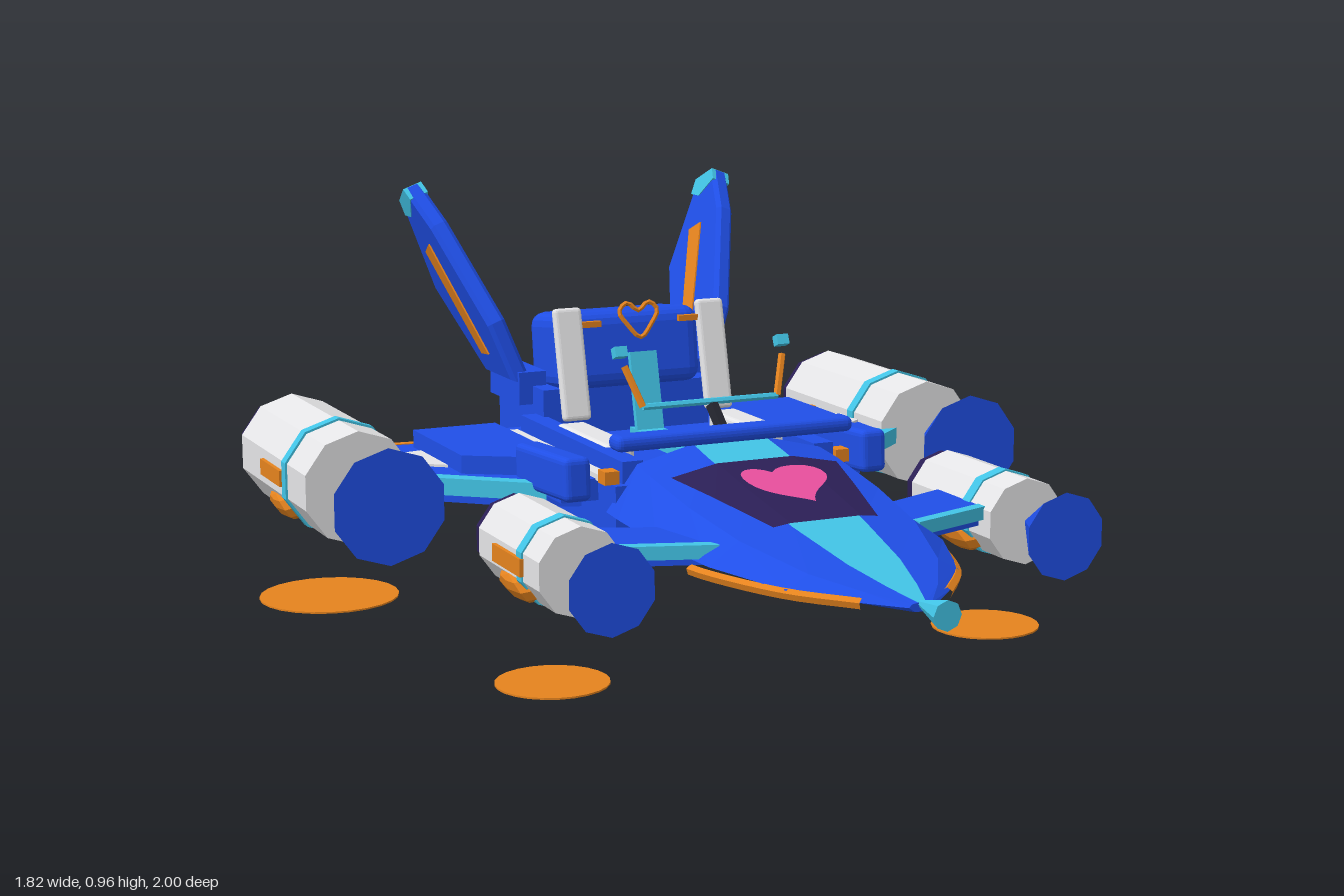
import * as THREE from 'three';
import { RoundedBoxGeometry } from 'three/addons/geometries/RoundedBoxGeometry.js';

const mat = (name, color, extra = {}) => {
  const m = new THREE.MeshStandardMaterial({ color, flatShading: true, ...extra });
  m.name = name;
  return m;
};
const open = { side: THREE.DoubleSide };

export function createModel() {
  const blue = mat('blue', 0x2152f0, open), cyan = mat('cyan', 0x42c4e6, open);
  const purple = mat('dark purple', 0x2b1f56, open), pink = mat('pink', 0xec509f, open);
  const grey = mat('pale grey', 0xececee), orange = mat('orange', 0xe5831e), black = mat('black', 0x22232c);
  const root = new THREE.Group();
  root.name = 'racer';

  const add = (name, geo, m, p = [0, 0, 0], r = [0, 0, 0], parent = root) => {
    const mesh = new THREE.Mesh(geo, m);
    mesh.name = name;
    mesh.position.set(...p);
    mesh.rotation.set(...r);
    parent.add(mesh);
    return mesh;
  };
  const box = (w, h, d) => new THREE.BoxGeometry(w, h, d);
  const soft = (w, h, d, r = 0.02) => new RoundedBoxGeometry(w, h, d, 2, r);
  // Cylinder along z: front radius, rear radius, length
  const cyl = (rf, rb, l, n = 10) => new THREE.CylinderGeometry(rf, rb, l, n).rotateX(Math.PI / 2);
  const shape = pts => new THREE.Shape(pts.map(p => new THREE.Vector2(...p)));
  // Horizontal slab from [x, z] outline, with its top at y = 0
  const slab = (pts, t, s = 1) => new THREE.ExtrudeGeometry(shape(pts.map(([x, z]) => [x * s, z])),
    { depth: t, bevelEnabled: false }).rotateX(Math.PI / 2);
  // Upright plate from [z, y] outline, centred on x = 0
  const upright = (pts, t, bevel = 0) => new THREE.ExtrudeGeometry(shape(pts),
    { depth: t, bevelEnabled: bevel > 0, bevelSize: bevel, bevelThickness: bevel, bevelSegments: 1 })
    .translate(0, 0, -t / 2).rotateY(-Math.PI / 2);
  const rod = (name, a, b, r, m) => {
    const A = new THREE.Vector3(...a), B = new THREE.Vector3(...b);
    add(name, new THREE.TubeGeometry(new THREE.LineCurve3(A, B), 1, r, 6), m);
  };
  const surface = pos => {
    const g = new THREE.BufferGeometry();
    g.setAttribute('position', new THREE.Float32BufferAttribute(pos, 3));
    g.computeVertexNormals();
    return g;
  };

  // Nose hull from octagonal cross-sections [z, halfWidth, edgeY, bottomY]
  const secs = [[0.02, 0.305, 0.3, 0.23], [0.1, 0.312, 0.3, 0.23], [0.3, 0.308, 0.29, 0.235],
    [0.5, 0.28, 0.28, 0.24], [0.7, 0.202, 0.268, 0.244], [0.82, 0.11, 0.262, 0.248], [0.9, 0.03, 0.26, 0.25]];
  const topY = z => 0.44 - 0.19 * z;
  const shoulder = 0.25;
  const ring = ([z, w, e, b]) => {
    const t = topY(z), m = t - shoulder * (t - e);
    return [[0.3, t], [0.75, m], [1, e], [0.5, b], [-0.5, b], [-1, e], [-0.75, m], [-0.3, t]]
      .map(([k, y]) => [k * w, y, z]);
  };
  const rings = secs.map(ring);
  const hullPos = [], stripePos = [];
  for (let i = 0; i < rings.length - 1; i++) for (let j = 0; j < 8; j++) {
    const k = (j + 1) % 8, a = rings[i][j], b = rings[i][k], c = rings[i + 1][j], d = rings[i + 1][k];
    // The top stripe runs full length, the belly stripe only to mid-nose
    const striped = j === 7 || (j === 3 && i < 3);
    (striped ? stripePos : hullPos).push(...a, ...b, ...c, ...b, ...d, ...c);
  }
  for (const [r, back] of [[rings[0], true], [rings[6], false]]) for (let j = 1; j < 7; j++)
    hullPos.push(...r[0], ...(back ? r[j] : r[j + 1]), ...(back ? r[j + 1] : r[j]));
  add('noseHull', surface(hullPos), blue);
  add('noseStripes', surface(stripePos), cyan);

  // Hatch that follows the hull facets
  const hatchRow = (z, w, e, hw) => {
    const t = topY(z) + 0.005, drop = shoulder * (topY(z) - e) * (hw - 0.3 * w) / (0.45 * w);
    return [[-hw, t - drop, z], [-0.3 * w, t, z], [0.3 * w, t, z], [hw, t - drop, z]];
  };
  const rows = [hatchRow(0.15, 0.311, 0.298, 0.205), hatchRow(0.3, 0.308, 0.29, 0.17), hatchRow(0.49, 0.281, 0.28, 0.125)];
  const hatch = [];
  for (let i = 0; i < 2; i++) for (let j = 0; j < 3; j++) {
    const a = rows[i][j], b = rows[i][j + 1], c = rows[i + 1][j], d = rows[i + 1][j + 1];
    hatch.push(...a, ...c, ...b, ...b, ...c, ...d);
  }
  add('noseHatch', surface(hatch), purple);
  const heart = new THREE.Shape();
  heart.moveTo(0, 0.235);
  heart.bezierCurveTo(0.03, 0.19, 0.125, 0.2, 0.115, 0.27);
  heart.bezierCurveTo(0.105, 0.32, 0.04, 0.34, 0.02, 0.405);
  heart.bezierCurveTo(-0.01, 0.37, -0.07, 0.35, -0.08, 0.28);
  heart.bezierCurveTo(-0.09, 0.2, -0.03, 0.19, 0, 0.235);
  const heartGeo = new THREE.ShapeGeometry(heart, 8);
  const hp = heartGeo.attributes.position;
  for (let i = 0; i < hp.count; i++) hp.setXYZ(i, hp.getX(i), topY(hp.getY(i)) + 0.009, hp.getY(i));
  // Reverse the corners so the face looks up
  heartGeo.setIndex(Array.from(heartGeo.index.array).reverse());
  heartGeo.computeVertexNormals();
  add('heartMark', heartGeo, pink);
  add('noseTip', cyl(0.032, 0.006, 0.11, 8), cyan, [0, 0.265, 0.945]);
  add('cowl', soft(0.59, 0.036, 0.06, 0.015), blue, [0, 0.457, 0.035]);

  // Cockpit tub, rear body and belly
  add('mainBody', box(0.58, 0.14, 0.74), blue, [0, 0.29, -0.33]);
  add('bellyPlate', soft(0.55, 0.045, 0.46, 0.015), blue, [0, 0.202, -0.6]);
  add('rearBody', box(0.45, 0.25, 0.3), blue, [0, 0.35, -0.7]);
  add('rearCollar', soft(0.4, 0.2, 0.1, 0.03), blue, [0, 0.365, -0.87]);
  add('rearTrim', box(0.46, 0.014, 0.014), orange, [0, 0.472, -0.852]);
  add('headrestBlock', soft(0.38, 0.19, 0.2, 0.035), blue, [0, 0.555, -0.635], [-0.12, 0, 0]);
  add('consoleStrip', box(0.07, 0.03, 0.33), cyan, [0, 0.37, -0.3]);
  add('consoleBack', box(0.07, 0.2, 0.015), cyan, [0, 0.47, -0.446], [-0.23, 0, 0]);
  // Heart-shaped wire emblem
  const emblem = new THREE.CatmullRomCurve3([[0, 0.02], [0.028, 0.04], [0.05, 0.02], [0.03, -0.015], [0, -0.045],
    [-0.03, -0.015], [-0.05, 0.02], [-0.028, 0.04]].map(([x, y]) => new THREE.Vector3(x, y, 0)), true);
  add('headrestEmblem', new THREE.TubeGeometry(emblem, 24, 0.006, 5, true), orange, [0, 0.645, -0.487], [-0.23, 0, 0]);

  // Main thruster
  add('thrusterRing', new THREE.TorusGeometry(0.108, 0.012, 6, 14), orange, [0, 0.365, -0.945]);
  add('thrusterBody', cyl(0.126, 0.126, 0.085, 14), purple, [0, 0.365, -0.91]);
  add('thrusterGlow', cyl(0.1, 0.1, 0.008, 14), orange, [0, 0.365, -0.952]);
  add('thrusterCore', cyl(0.085, 0.085, 0.008, 14), black, [0, 0.365, -0.957]);
  add('thrusterCone', cyl(0.008, 0.042, 0.1, 10), black, [0, 0.365, -0.95]);

  // Steering column and yoke
  rod('steeringColumn', [0, 0.42, 0.02], [0, 0.5, -0.07], 0.017, black);
  rod('yokeBar', [-0.17, 0.51, -0.08], [0.17, 0.51, -0.08], 0.008, cyan);

  // Engine pod with forward cone, band, nozzle and ground glow
  const pod = (name, s, x, y, r, z0, z1, coneZ, bandZ, discZ, discR) => {
    const g = new THREE.Group();
    g.name = name;
    g.position.set(s * x, y, 0);
    root.add(g);
    const l = z0 - z1;
    add('podShell', cyl(r, r, l), grey, [0, 0, (z0 + z1) / 2], [0, 0, 0], g);
    add('podCone', cyl(r, 0.004, coneZ - z0), blue, [0, 0, (coneZ + z0) / 2], [0, 0, 0], g);
    add('podBand', cyl(r * 1.04, r * 1.04, 0.03), cyan, [0, 0, bandZ], [0, 0, 0], g);
    add('nozzleRing', cyl(r * 0.96, r * 0.93, 0.034), purple, [0, 0, z1 - 0.015], [0, 0, 0], g);
    add('nozzleGlow', cyl(r * 0.8, r * 0.8, 0.008), orange, [0, 0, z1 - 0.033], [0, 0, 0], g);
    add('podVent', box(0.014, 0.038, 0.16), orange, [s * r * 0.97, 0, discZ], [0, 0, 0], g);
    for (const side of [-1, 1]) {
      const scoop = new THREE.SphereGeometry(1, 8, 5).scale(0.022, 0.036, 0.092);
      add('podScoop', scoop, orange, [side * r * 0.76, -r * 0.6, discZ], [0, 0, side * -0.65], g);
    }
    add('groundGlow', new THREE.CylinderGeometry(discR, discR, 0.004, 24), orange, [0, 0.002 - y, discZ], [0, 0, 0], g);
  };

  for (const s of [1, -1]) {
    pod('rearPod', s, 0.745, 0.315, 0.134, -0.385, -0.915, -0.17, -0.545, -0.645, 0.166);
    pod('frontPod', s, 0.535, 0.28, 0.098, 0.43, 0.08, 0.59, 0.325, 0.262, 0.124);

    // Rear wing with raised panel and coloured edges
    add('rearWing', slab([[0.26, -0.7], [0.68, -0.755], [0.68, -0.45], [0.4, -0.2], [0.26, -0.15]], 0.06, s), blue, [0, 0.335, 0]);
    add('wingPanel', slab([[0.298, -0.69], [0.51, -0.69], [0.51, -0.35], [0.37, -0.26], [0.298, -0.26]], 0.05, s), blue, [0, 0.378, 0]);
    add('wingPatch', slab([[0.515, -0.62], [0.63, -0.6], [0.63, -0.52], [0.515, -0.43]], 0.006, s), grey, [0, 0.341, 0]);
    add('wingLeadingEdge', slab([[0.66, -0.44], [0.38, -0.195], [0.38, -0.15], [0.66, -0.385]], 0.04, s), cyan, [0, 0.338, 0]);
    add('wingTrailingEdge', slab([[0.26, -0.7], [0.65, -0.745], [0.65, -0.77], [0.26, -0.715]], 0.03, s), orange, [0, 0.337, 0]);

    // Front wing, swept forward towards the hull
    add('frontWing', slab([[0.24, 0.28], [0.5, 0.17], [0.5, 0.36], [0.24, 0.45]], 0.045, s), blue, [0, 0.315, 0]);
    add('frontWingEdge', slab([[0.24, 0.44], [0.5, 0.35], [0.5, 0.38], [0.24, 0.47]], 0.03, s), cyan, [0, 0.317, 0]);

    // Orange trim along the nose edge
    const trim = new THREE.CatmullRomCurve3([[0.288, 0.43], [0.274, 0.5], [0.196, 0.7], [0.098, 0.83]]
      .map(([x, z]) => new THREE.Vector3(s * x, 0.26, z)));
    add('noseTrim', new THREE.TubeGeometry(trim, 10, 0.012, 5), orange);

    // Tub walls, side rails and side pods
    add('tubWall', box(0.05, 0.08, 0.62), blue, [s * 0.24, 0.37, -0.29]);
    add('sideRail', box(0.03, 0.015, 0.62), grey, [s * 0.281, 0.364, -0.31]);
    add('railEnd', box(0.035, 0.03, 0.04), orange, [s * 0.29, 0.375, 0]);
    add('sidePod', soft(0.065, 0.1, 0.31, 0.015), blue, [s * 0.372, 0.37, -0.13], [-0.06, 0, 0]);
    add('sidePodStrut', box(0.09, 0.05, 0.16), blue, [s * 0.335, 0.335, -0.14]);

    // Seats
    add('seatCushion', soft(0.075, 0.05, 0.3, 0.012), grey, [s * 0.2, 0.39, -0.29]);
    add('seatBack', soft(0.072, 0.27, 0.024, 0.01), grey, [s * 0.187, 0.55, -0.462], [-0.23, 0, 0]);
    add('headrestBar', box(0.075, 0.014, 0.014), orange, [s * 0.14, 0.64, -0.483]);

    // Yoke handles
    rod('yokeHandle', [s * 0.17, 0.51, -0.08], [s * 0.2, 0.6, -0.115], 0.009, orange);
    add('yokeGrip', box(0.03, 0.024, 0.024), cyan, [s * 0.205, 0.63, -0.13], [-0.4, 0, 0]);

    // Canted tail fin
    const fin = new THREE.Group();
    fin.name = 'tailFin';
    fin.position.set(s * 0.25, 0.49, 0);
    fin.rotation.z = -s * 0.36;
    root.add(fin);
    add('finBlade', upright([[-0.64, 0.01], [-0.81, 0.01], [-0.975, 0.21], [-0.975, 0.44], [-0.915, 0.475],
      [-0.82, 0.39], [-0.66, 0.15]], 0.026, 0.01), blue, [0, 0, 0], [0, 0, 0], fin);
    add('finTip', upright([[-0.89, 0.463], [-0.915, 0.488], [-0.987, 0.45], [-0.985, 0.41], [-0.94, 0.41]], 0.05),
      cyan, [0, 0, 0], [0, 0, 0], fin);
    add('finStripe', upright([[-0.73, 0.065], [-0.782, 0.06], [-0.926, 0.318], [-0.876, 0.344]], 0.054),
      orange, [0, 0, 0], [0, 0, 0], fin);
    add('finRoot', box(0.07, 0.08, 0.2), blue, [s * 0.225, 0.47, -0.72]);
  }
  return root;
}
